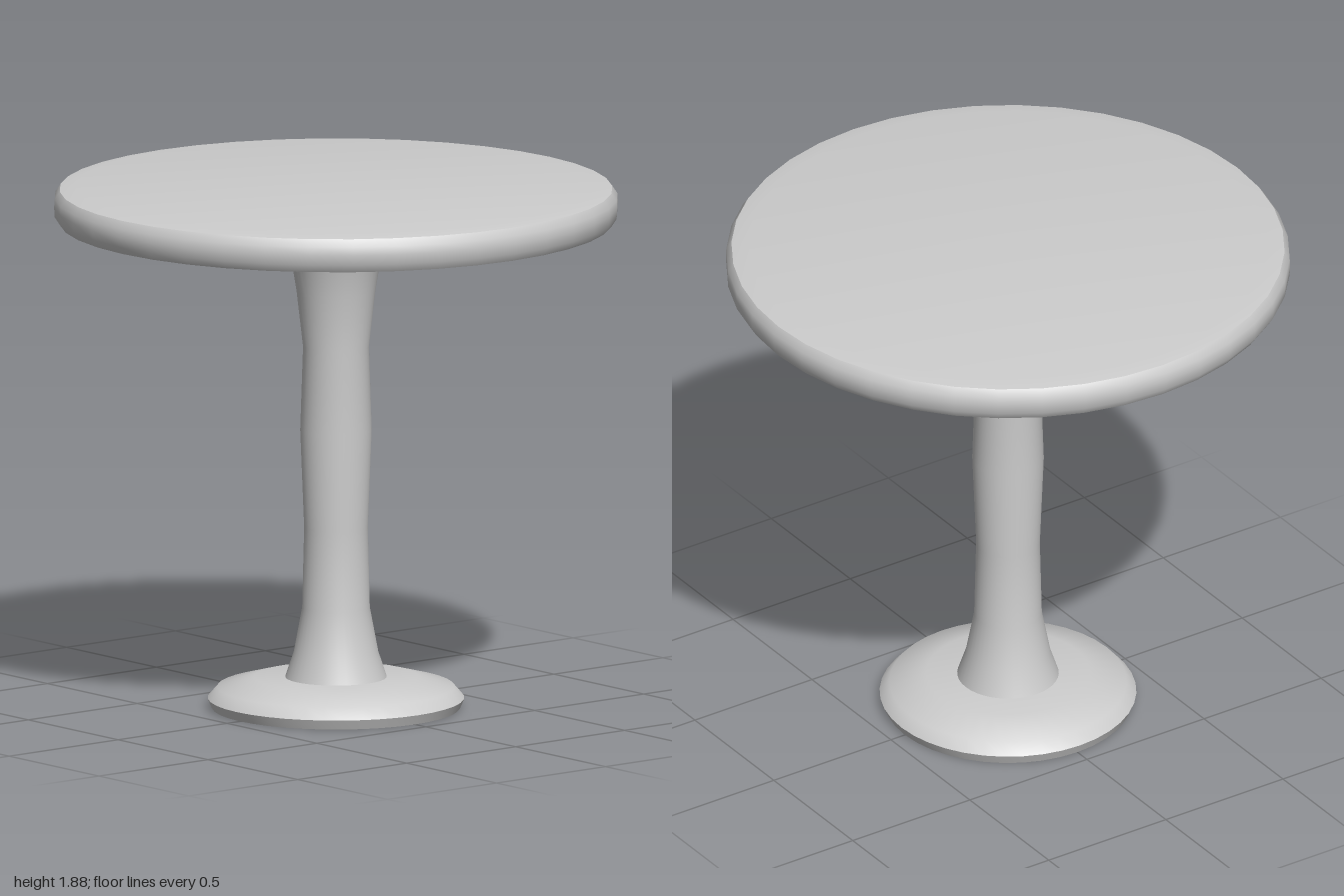
import * as THREE from 'three';
import { toCreasedNormals } from 'three/addons/utils/BufferGeometryUtils.js';

const SEGMENTS = 40;

// Turned part from [radius, height] pairs, listed bottom to top
function turned(name, profile, material) {
  const points = profile.map(([r, y]) => new THREE.Vector2(r, y));
  const geometry = toCreasedNormals(new THREE.LatheGeometry(points, SEGMENTS), 0.7);
  const mesh = new THREE.Mesh(geometry, material);
  mesh.name = name;
  return mesh;
}

export function createModel() {
  const group = new THREE.Group();
  group.name = 'pedestalTable';

  const grey = new THREE.MeshStandardMaterial({ color: 0xcccccc });
  grey.name = 'lightGrey';

  // Round foot with a sloped upper face and undercut rim
  group.add(turned('base', [
    [0, 0], [0.44, 0], [0.455, 0.035], [0.42, 0.075], [0.29, 0.11], [0, 0.11],
  ], grey));

  // Column, flared at both ends with a slight swell in the middle
  group.add(turned('column', [
    [0.18, 0.11], [0.15, 0.2], [0.12, 0.36], [0.113, 0.65], [0.127, 1.0],
    [0.117, 1.3], [0.14, 1.5], [0.172, 1.7], [0.19, 1.74],
  ], grey));

  // Disc top with a rounded edge
  group.add(turned('tabletop', [
    [0, 1.74], [0.93, 1.74], [0.98, 1.747], [0.998, 1.775], [1, 1.81],
    [0.998, 1.84], [0.98, 1.866], [0.92, 1.876], [0, 1.876],
  ], grey));

  return group;
}
